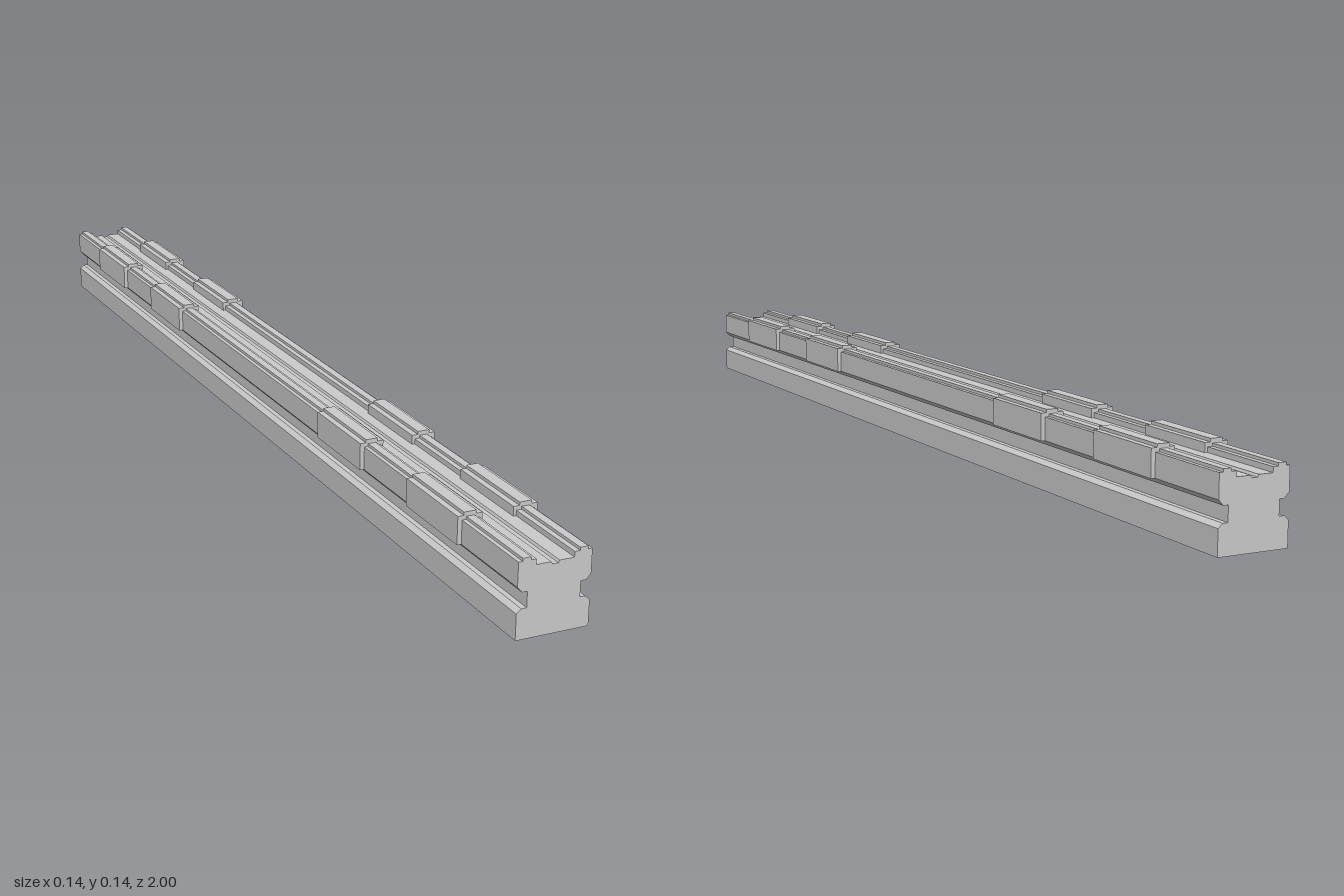
import * as THREE from 'three';

const material = new THREE.MeshStandardMaterial({ color: 0xcccccc, flatShading: true });

// Extrude an outline of [x, y] points along z, centred on z = 0
function bar(name, points, length) {
  const shape = new THREE.Shape(points.map(([x, y]) => new THREE.Vector2(x, y)));
  const geometry = new THREE.ExtrudeGeometry(shape, { depth: length, bevelEnabled: false });
  geometry.translate(0, 0, -length / 2);
  const mesh = new THREE.Mesh(geometry, material);
  mesh.name = name;
  return mesh;
}

const mirrored = (points) => points.map(([x, y]) => [-x, y]).reverse();

export function createModel() {
  const model = new THREE.Group();
  model.name = 'guideRail';

  // Rail: waisted section with a raised ridge on each shoulder and a centre groove
  const half = [
    [0.062, 0], [0.062, 0.043], [0.054, 0.05], [0.045, 0.05],
    [0.045, 0.076], [0.054, 0.076], [0.062, 0.085], [0.062, 0.125],
    [0.055, 0.125], [0.055, 0.13], [0.041, 0.13], [0.041, 0.125],
    [0.032, 0.125], [0.032, 0.116], [0.007, 0.116], [0.005, 0.112],
  ];
  model.add(bar('rail', [...half, ...mirrored(half)], 2));

  // Sleeves: four stepped pads capping each shoulder
  const sleeve = [
    [0.0695, 0.085], [0.0695, 0.132], [0.059, 0.132], [0.059, 0.1375],
    [0.0375, 0.1375], [0.0375, 0.132], [0.027, 0.132], [0.027, 0.11], [0.05, 0.085],
  ];
  for (const [side, outline] of [['left', sleeve], ['right', mirrored(sleeve)]]) {
    [-0.75, -0.417, 0.417, 0.75].forEach((z, i) => {
      const pad = bar(`${side}Sleeve${i + 1}`, outline, 0.167);
      pad.position.z = z;
      model.add(pad);
    });
  }
  return model;
}
